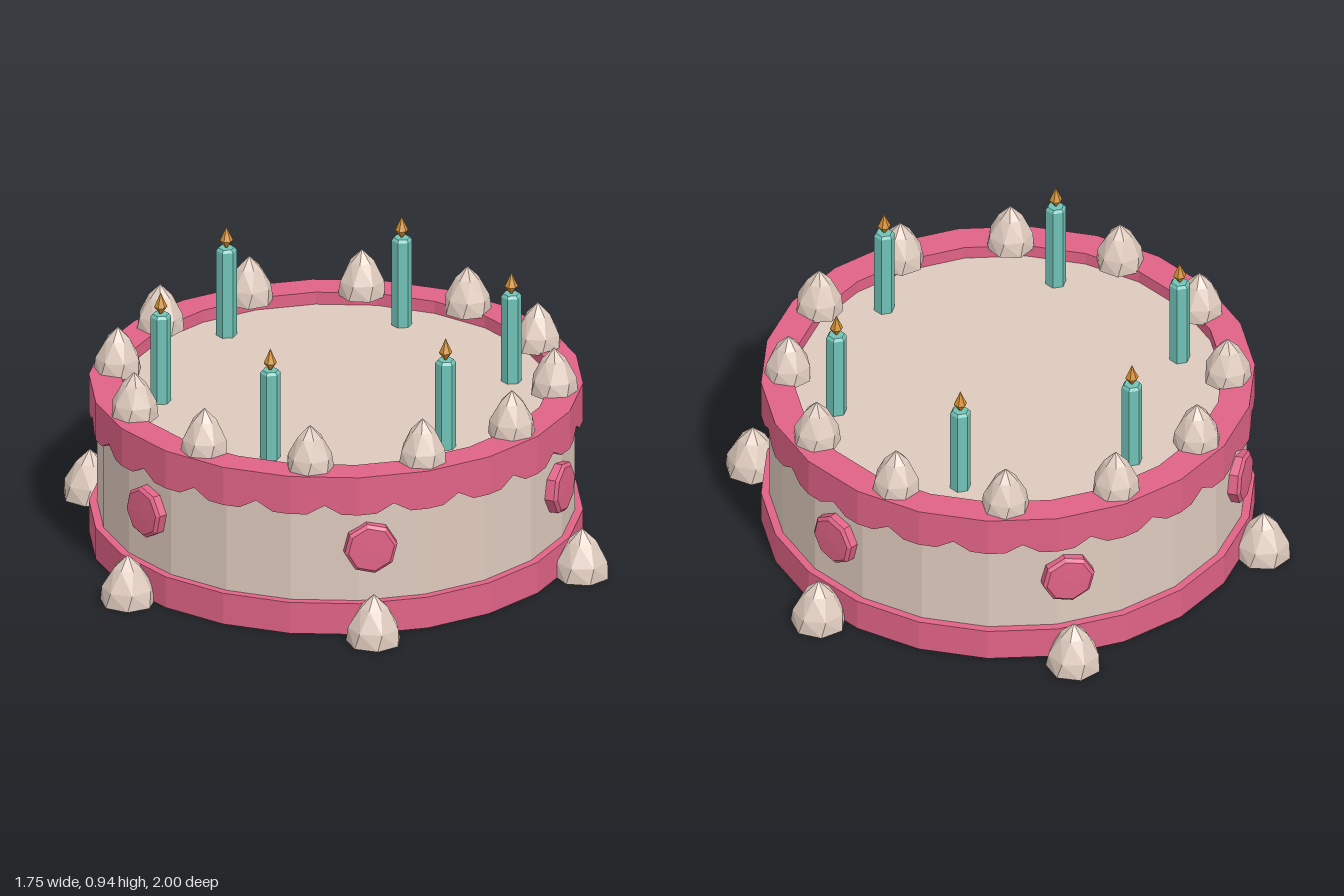
import * as THREE from 'three';

const SIDES = 22;
const STEP = (Math.PI * 2) / SIDES;

const material = (name, color) => {
  const m = new THREE.MeshStandardMaterial({ color });
  m.name = name;
  return m;
};

// Gives every face its own normal for the faceted look
function facet(geometry) {
  const g = geometry.index ? geometry.toNonIndexed() : geometry;
  g.computeVertexNormals();
  return g;
}

// Turned shape from [radius, height] pairs, listed bottom to top
function turned(points, sides, start = 0) {
  return new THREE.LatheGeometry(points.map(([r, y]) => new THREE.Vector2(r, y)), sides, start);
}

// Upper icing ring: 22 flat sides, with a notch cut into the lower edge of each
function icingRing() {
  const profile = [[0.8, 0.445], [0.845, 0.445], [0.845, 0.585], [0.735, 0.585], [0.735, 0.53]];
  const g = turned(profile, SIDES * 4, STEP / 2);
  const p = g.attributes.position;
  for (let i = 0; i < p.count; i++) {
    const column = Math.floor(i / profile.length) % 4;
    const row = i % profile.length;
    const flat = Math.cos(STEP / 2) / Math.cos(((column - 2) / 4) * STEP);
    const lift = row < 2 && column === 2 ? 0.033 : 0;
    p.setXYZ(i, p.getX(i) * flat, p.getY(i) + lift, p.getZ(i) * flat);
  }
  return facet(g);
}

// Piped cream drop: seven sides, gently twisted toward a point
function creamDrop(radius, height) {
  const g = turned([[0, 0], [1, 0], [0.93, 0.32], [0.5, 0.74], [0, 1]], 7);
  const p = g.attributes.position;
  const v = new THREE.Vector3();
  const up = new THREE.Vector3(0, 1, 0);
  for (let i = 0; i < p.count; i++) {
    v.fromBufferAttribute(p, i);
    v.applyAxisAngle(up, v.y * 0.55);
    p.setXYZ(i, v.x * radius, v.y * height, v.z * radius);
  }
  return facet(g);
}

export function createModel() {
  const cream = material('cream', 0xdecabd);
  const pink = material('pink icing', 0xe06386);
  const teal = material('teal wax', 0x70c2b7);
  const amber = material('amber flame', 0xd08c2c);

  const cake = new THREE.Group();
  cake.name = 'cake';

  const add = (name, geometry, mat, parent = cake) => {
    const mesh = new THREE.Mesh(geometry, mat);
    mesh.name = name;
    parent.add(mesh);
    return mesh;
  };

  // Places copies evenly around the cake, angle measured from the front
  const around = (count, offset, radius, y, make) => {
    for (let i = 0; i < count; i++) {
      const a = offset + (i / count) * Math.PI * 2;
      const item = make(i);
      item.position.set(Math.sin(a) * radius, y, Math.cos(a) * radius);
      item.rotation.y = a;
    }
  };

  // Sponge and icing rings
  add('cakeBody', facet(turned([[0, 0], [0.817, 0], [0.817, 0.54], [0, 0.54]], SIDES, STEP / 2)), cream);
  add('baseRing', facet(turned([[0.8, 0], [0.845, 0], [0.845, 0.115], [0.8, 0.115]], SIDES, STEP / 2)), pink);
  add('topRing', icingRing(), pink);

  // Cream drops on the rim and around the foot
  const rimDrop = creamDrop(0.083, 0.165);
  const footDrop = creamDrop(0.096, 0.175);
  around(12, Math.PI / 12, 0.75, 0.575, () => add('rimDrop', rimDrop, cream));
  around(6, 0, 0.905, 0, () => add('footDrop', footDrop, cream));

  // Round icing buttons on the side wall
  const buttonShape = turned([[0.092, -0.02], [0.092, 0.028], [0.08, 0.038], [0, 0.04]], 8, 0.15);
  const button = facet(buttonShape.rotateX(Math.PI / 2));
  around(6, 0, 0.809, 0.315, () => add('sideButton', button, pink));

  // Candles with flames
  const wax = facet(turned([[0.036, 0], [0.036, 0.32], [0.028, 0.33], [0, 0.33]], 6));
  const flame = facet(turned([[0, 0], [0.023, 0.032], [0.012, 0.056], [0, 0.085]], 6));
  around(6, Math.PI / 6, 0.605, 0.535, () => {
    const candle = new THREE.Group();
    candle.name = 'candle';
    cake.add(candle);
    add('wax', wax, teal, candle);
    add('flame', flame, amber, candle).position.y = 0.325;
    return candle;
  });

  return cake;
}
